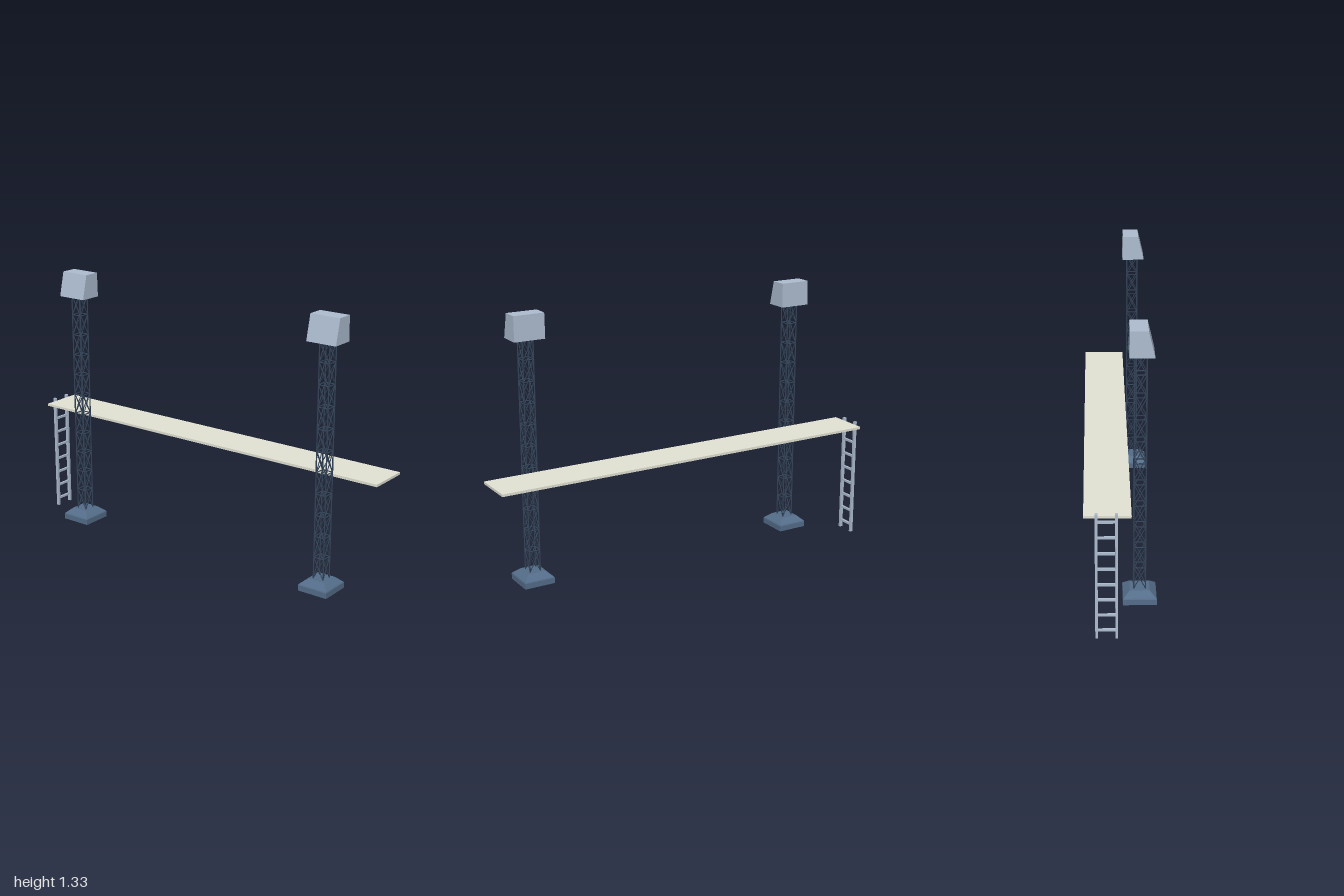
import * as THREE from 'three';

const mat = (name, color) => Object.assign(new THREE.MeshStandardMaterial({ color }), { name });

export function createModel() {
  const steel = mat('dark steel', 0x34455a);
  const baseBlue = mat('slate blue', 0x546d89);
  const paleGrey = mat('pale blue grey', 0xaebdd1);
  const plank = mat('plank grey', 0xe3e3d5);

  const model = new THREE.Group();
  model.name = 'platformWithTowers';

  const add = (parent, name, geometry, material, x = 0, y = 0, z = 0) => {
    const mesh = new THREE.Mesh(geometry, material);
    mesh.name = name;
    mesh.position.set(x, y, z);
    parent.add(mesh);
    return mesh;
  };

  // Round bar running between two points
  const bar = (parent, name, a, b, size) => {
    const from = new THREE.Vector3(...a), to = new THREE.Vector3(...b);
    const dir = to.clone().sub(from);
    const mesh = add(parent, name, new THREE.CylinderGeometry(size / 2, size / 2, dir.length(), 8), steel);
    mesh.position.copy(from).add(to).multiplyScalar(0.5);
    mesh.quaternion.setFromUnitVectors(new THREE.Vector3(0, 1, 0), dir.normalize());
  };

  // Box whose upper face is smaller than its lower one
  const taperedBox = (width, height, topScale) => {
    const g = new THREE.BoxGeometry(width, height, width);
    const p = g.attributes.position;
    for (let i = 0; i < p.count; i++) {
      if (p.getY(i) > 0) p.setXYZ(i, p.getX(i) * topScale, p.getY(i), p.getZ(i) * topScale);
    }
    g.computeVertexNormals();
    return g;
  };

  // Lattice tower
  const createTower = (z) => {
    const tower = new THREE.Group();
    tower.name = 'tower';
    tower.position.set(-0.086, 0, z);

    // Base: block, narrow bevel and sloping top
    add(tower, 'baseBlock', new THREE.BoxGeometry(0.153, 0.027, 0.153), baseBlue, 0, 0.0455, 0);
    add(tower, 'baseBevel', taperedBox(0.153, 0.005, 0.97), baseBlue, 0, 0.0615, 0);
    add(tower, 'baseSlope', taperedBox(0.1484, 0.026, 0.6), baseBlue, 0, 0.077, 0);

    const h = 0.0265, bottom = 0.091, top = 1.214, bay = 0.1028;
    for (let side = 0; side < 4; side++) {
      const face = new THREE.Group();
      face.name = 'latticeFace';
      face.rotation.y = side * Math.PI / 2;
      tower.add(face);
      bar(face, 'leg', [h, bottom - 0.003, h], [h, top, h], 0.0065);
      for (let i = 0; i < 11; i++) {
        const y0 = bottom + i * bay, y1 = Math.min(y0 + bay, top);
        bar(face, 'brace', [-h, y0, h], [h, y1, h], 0.0045);
        bar(face, 'brace', [h, y0, h], [-h, y1, h], 0.0045);
        if (i > 0) bar(face, 'crossbar', [-h, y0, h], [h, y0, h], 0.0055);
      }
    }

    // Head housing with a sloping outer side
    const outline = new THREE.Shape([[-0.0585, 1.2125], [0.051, 1.2125], [0.048, 1.332], [-0.03, 1.332]]
      .map(([x, y]) => new THREE.Vector2(x, y)));
    add(tower, 'head', new THREE.ExtrudeGeometry(outline, { depth: 0.152, bevelEnabled: false }),
      paleGrey, 0, 0, -0.076);
    model.add(tower);
  };
  createTower(0.753);
  createTower(-0.699);

  // Long walkway
  add(model, 'walkway', new THREE.BoxGeometry(0.204, 0.012, 1.985), plank, 0.06, 0.583, 0.0075);

  // Ladder at the rear end
  const ladder = new THREE.Group();
  ladder.name = 'ladder';
  ladder.position.set(0.065, 0, -0.9925);
  model.add(ladder);
  for (const side of [-1, 1]) {
    add(ladder, 'rail', new THREE.BoxGeometry(0.012, 0.602, 0.015), paleGrey, side * 0.0435, 0.301, 0);
  }
  for (let i = 0; i < 8; i++) {
    add(ladder, 'rung', new THREE.BoxGeometry(0.08, 0.011, 0.01), paleGrey, 0, 0.039 + i * 0.075, 0);
  }
  return model;
}
